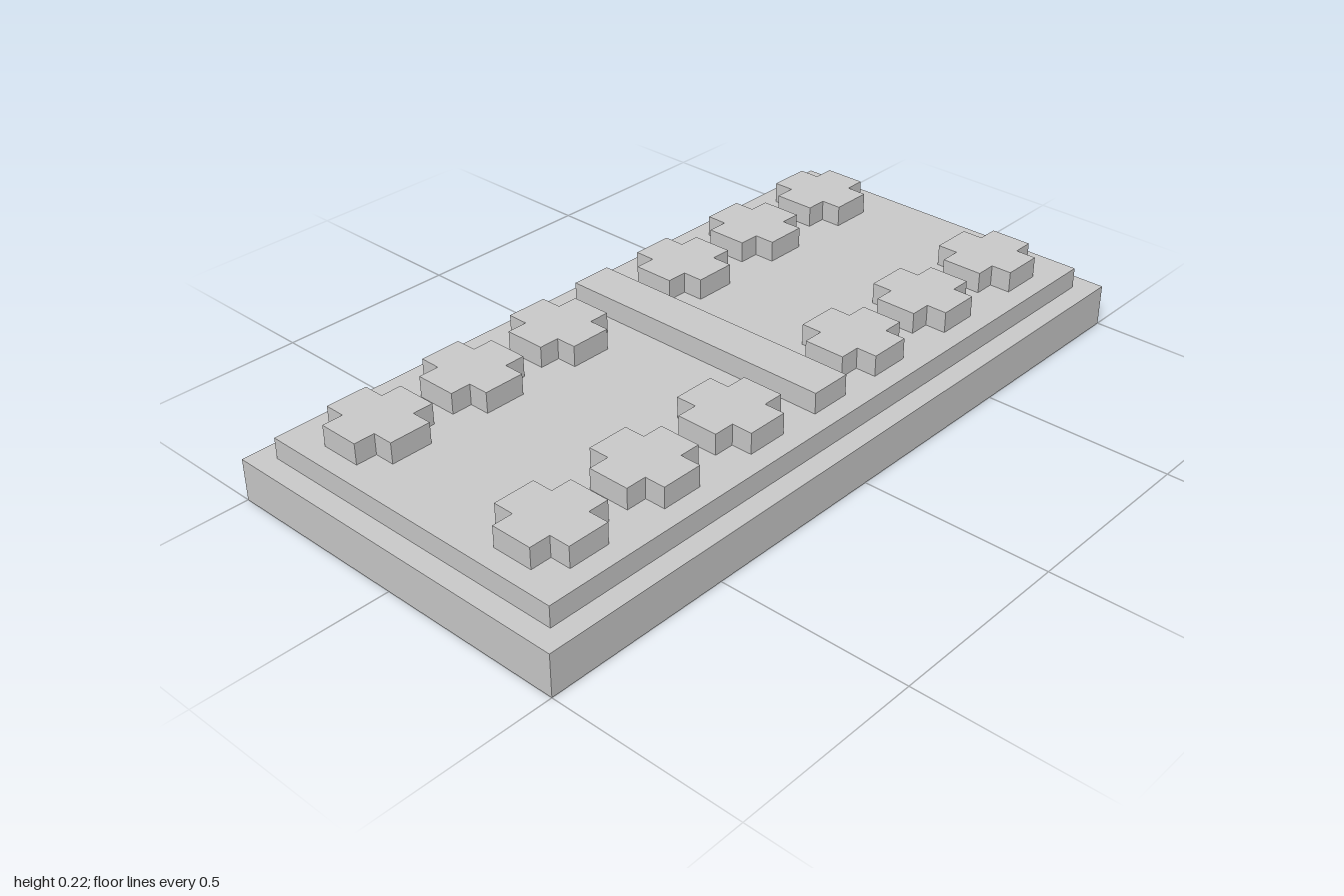
import * as THREE from 'three';

const U = 1 / 18; // grid module

export function createModel() {
  const model = new THREE.Group();
  const material = new THREE.MeshStandardMaterial({ color: 0xcccccc, flatShading: true });

  // Box sized in modules, resting at the given height
  const slab = (name, w, h, d, bottom) => {
    const mesh = new THREE.Mesh(new THREE.BoxGeometry(w * U, h * U, d * U), material);
    mesh.name = name;
    mesh.position.y = (bottom + h / 2) * U;
    model.add(mesh);
  };

  slab('base', 36, 2, 18, 0);
  slab('raisedPlate', 34, 1, 16, 2);
  slab('centreBar', 2, 1, 14, 3);

  // Plus-shaped stud: one arm corner turned four times
  const outline = [];
  for (let i = 0; i < 4; i++) {
    for (const [x, y] of [[2, -1], [2, 1], [1, 1]]) {
      outline.push(new THREE.Vector2(x * U, y * U).rotateAround(new THREE.Vector2(), i * Math.PI / 2));
    }
  }
  const crossGeometry = new THREE.ExtrudeGeometry(new THREE.Shape(outline), { depth: U, bevelEnabled: false });
  crossGeometry.rotateX(-Math.PI / 2);

  // Two rows of three studs on each side of the bar
  for (const x of [-14, -9, -4, 4, 9, 14]) {
    for (const z of [-5, 5]) {
      const cross = new THREE.Mesh(crossGeometry, material);
      cross.name = 'crossStud';
      cross.position.set(x * U, 3 * U, z * U);
      model.add(cross);
    }
  }
  return model;
}
